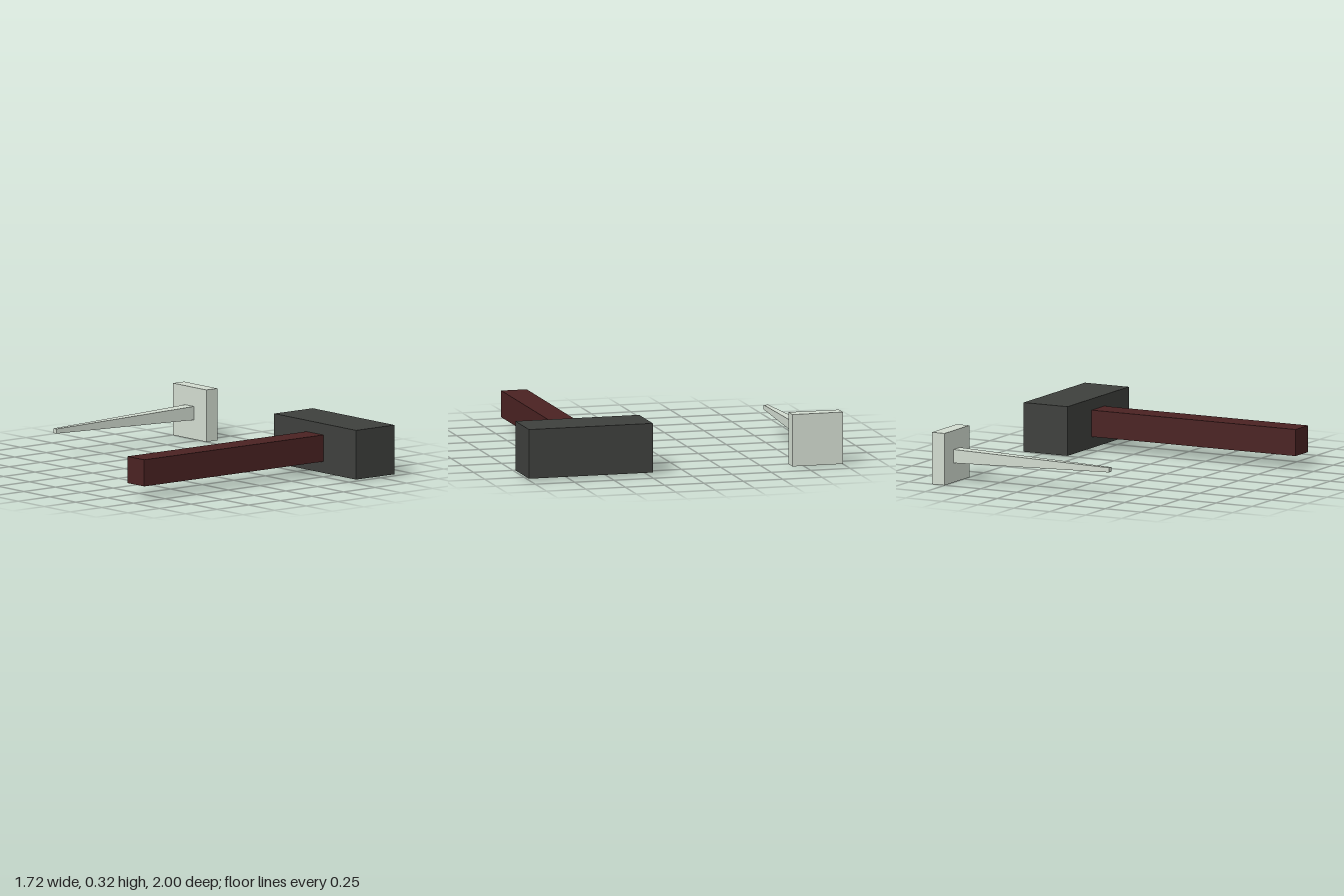
import * as THREE from 'three';

const material = (color) => new THREE.MeshStandardMaterial({ color, flatShading: true });

// Box given by its min and max corners
function box(name, min, max, mat) {
  const size = max.map((v, i) => v - min[i]);
  const mesh = new THREE.Mesh(new THREE.BoxGeometry(...size), mat);
  mesh.position.set(...max.map((v, i) => (v + min[i]) / 2));
  mesh.name = name;
  return mesh;
}

export function createModel() {
  const model = new THREE.Group();
  model.name = 'hammerAndNail';
  const wood = material(0x4a2222);
  const iron = material(0x3e403d);
  const steel = material(0xd2dcd0);

  // Hammer lying on its side
  const hammer = new THREE.Group();
  hammer.name = 'hammer';
  hammer.add(
    box('hammerHead', [0.555, 0.01, 0.213], [0.86, 0.315, 1], iron),
    box('hammerHandle', [-0.862, 0.08, 0.523], [0.56, 0.245, 0.685], wood),
  );

  // Nail with a square plate head
  const nail = new THREE.Group();
  nail.name = 'nail';
  nail.add(box('nailHead', [0.752, 0, -1], [0.84, 0.322, -0.68], steel));

  // Square shank tapering towards a blunt tip at -x
  const shank = box('nailShank', [-0.313, 0.12, -0.883], [0.754, 0.204, -0.799], steel);
  const pos = shank.geometry.attributes.position;
  const tipScale = 0.34;
  for (let i = 0; i < pos.count; i++) {
    if (pos.getX(i) < 0) {
      pos.setY(i, pos.getY(i) * tipScale);
      pos.setZ(i, pos.getZ(i) * tipScale);
    }
  }
  shank.geometry.computeVertexNormals();
  nail.add(shank);

  model.add(hammer, nail);
  return model;
}
